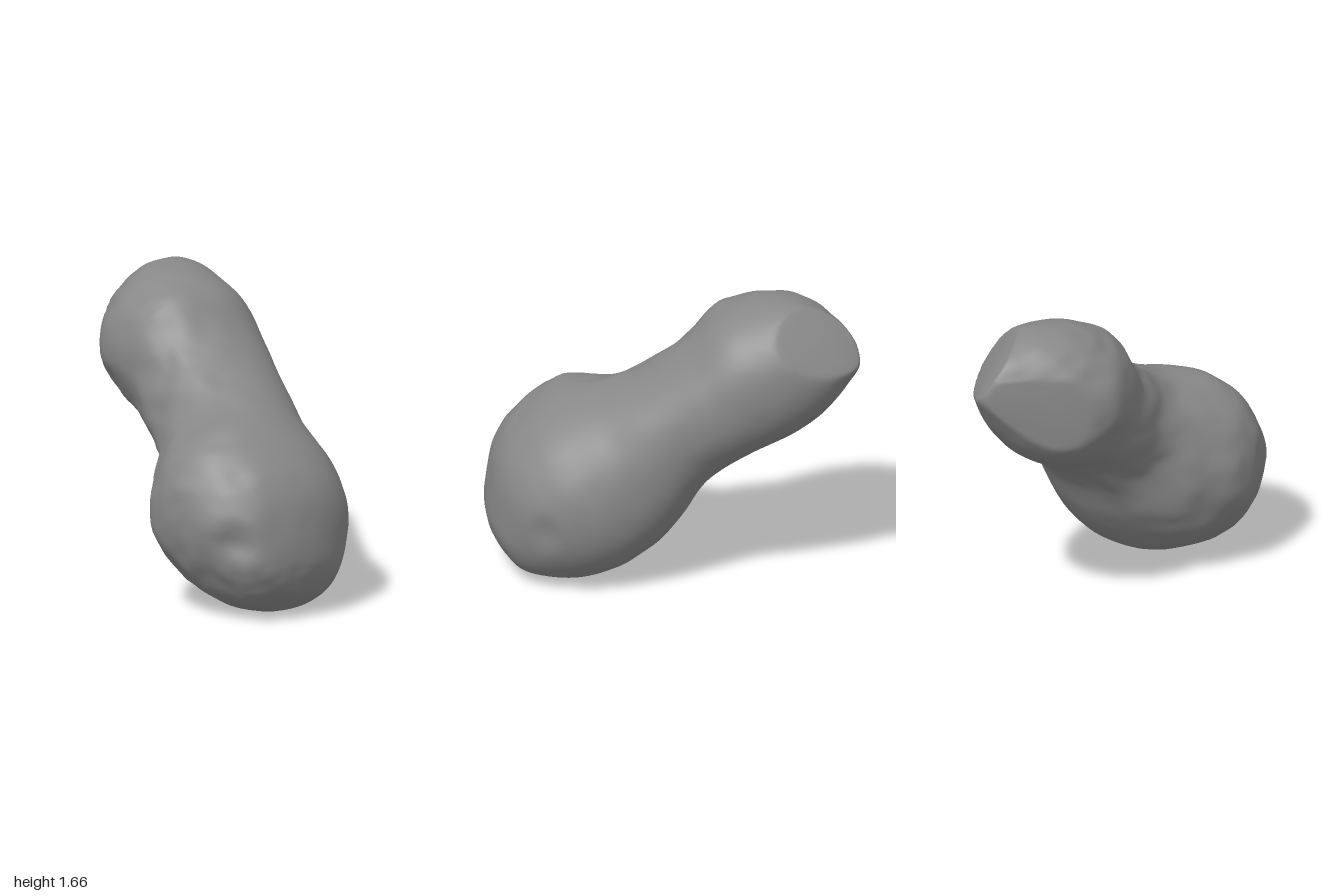
import * as THREE from 'three';
import { mergeVertices } from 'three/addons/utils/BufferGeometryUtils.js';

// Cross-sections along the long axis: [s, upper, lower, front z, back z]
const SECTIONS = [
  [-1.175, 0.06, 0.06, -0.4, -0.4],
  [-1.13, 0.21, -0.08, -0.24, -0.51],
  [-1.0, 0.375, -0.175, 0.04, -0.56],
  [-0.8, 0.475, -0.265, 0.195, -0.585],
  [-0.58, 0.515, -0.28, 0.23, -0.6],
  [-0.33, 0.45, -0.255, 0.225, -0.58],
  [-0.05, 0.425, -0.28, 0.27, -0.535],
  [0.2, 0.45, -0.405, 0.45, -0.52],
  [0.42, 0.495, -0.475, 0.58, -0.515],
  [0.64, 0.49, -0.48, 0.585, -0.505],
  [0.87, 0.4, -0.415, 0.52, -0.43],
  [1.07, 0.18, -0.28, 0.385, -0.265],
  [1.13, 0.06, -0.16, 0.25, -0.11],
  [1.155, -0.04, -0.04, 0.1, 0.1],
];

// Shallow hollows: [x, y, z, radius, depth]
const DENTS = [
  [0.9, 0.46, 0.43, 0.16, 0.03],
  [0.72, 0.4, -0.44, 0.13, 0.02],
  [0.3, 1.05, 0.2, 0.27, 0.03],
  [-0.17, 1.2, 0.22, 0.2, 0.02],
  [0.12, 0.42, 0.42, 0.13, 0.015],
  [0.7, 0.25, 0.47, 0.15, 0.015],
];

// Flat cuts across the upper end: front-facing side and back shoulder
const CUTS = [
  new THREE.Plane(new THREE.Vector3(-0.906, 0, 0.423), -0.735),
  new THREE.Plane(new THREE.Vector3(-0.33, 0.586, -0.74), -1.45),
];

// Catmull-Rom value of one section column
function column(k, t) {
  const n = SECTIONS.length - 1;
  const i = Math.min(Math.floor(t * n), n - 1), f = t * n - i;
  const at = (j) => SECTIONS[Math.max(0, Math.min(n, j))][k];
  const a = at(i - 1), b = at(i), c = at(i + 1), d = at(i + 2);
  return b + 0.5 * f * (c - a + f * (2 * a - 5 * b + 4 * c - d + f * (3 * (b - c) + d - a)));
}

// Seeded lattice noise in -1..1
function hash(x, y, z) {
  let h = Math.imul(x, 374761393) ^ Math.imul(y, 668265263) ^ Math.imul(z, 1274126177);
  h = Math.imul(h ^ (h >>> 13), 1103515245);
  return ((h ^ (h >>> 16)) >>> 0) / 2147483648 - 1;
}
function noise(x, y, z) {
  const c = [x, y, z].map(Math.floor);
  const f = [x - c[0], y - c[1], z - c[2]].map((v) => v * v * (3 - 2 * v));
  let sum = 0;
  for (let n = 0; n < 8; n++) {
    const o = [n & 1, (n >> 1) & 1, n >> 2];
    const w = o.reduce((p, v, i) => p * (v ? f[i] : 1 - f[i]), 1);
    sum += w * hash(c[0] + o[0], c[1] + o[1], c[2] + o[2]);
  }
  return sum;
}

function rockGeometry(rows = 90, sides = 80) {
  const pos = [], index = [];
  const p = new THREE.Vector3(), centre = new THREE.Vector3(), out = new THREE.Vector3();
  // Axis coordinates (along, across, z) to model coordinates
  const place = (v, s, a, z) => v.set(0.85 * s + 0.527 * a, 0.82 - 0.527 * s + 0.85 * a, z);
  const round = (v) => Math.sign(v) * Math.abs(v) ** 0.93;

  for (let i = 0; i <= rows; i++) {
    const [s, up, down, front, back] = [0, 1, 2, 3, 4].map((k) => column(k, i / rows));
    const mid = (up + down) / 2, zMid = (front + back) / 2;
    // The lower lobe leans: its front sits higher than its back
    const lean = 0.09 * (front - back) / 2 * THREE.MathUtils.smoothstep(s, -0.1, 0.4);

    for (let j = 0; j < sides; j++) {
      const a = (j / sides) * Math.PI * 2;
      const across = mid + round(Math.cos(a)) * (up - down) / 2 + lean * Math.sin(a);
      place(p, s, across, zMid + round(Math.sin(a)) * (front - back) / 2);
      // Push along the outward direction, rougher on the front side
      place(centre, s * 0.6, mid, zMid);
      out.copy(p).sub(centre).normalize();
      const rough = THREE.MathUtils.clamp(0.4 + out.z, 0.2, 1);
      let push = rough * (0.016 * noise(p.x * 5 + 9, p.y * 5, p.z * 5) + 0.01 * noise(p.x * 11, p.y * 11 + 4, p.z * 11));
      for (const [x, y, z, r, depth] of DENTS) {
        const d = Math.hypot(p.x - x, p.y - y, p.z - z) / r;
        if (d < 1) push -= depth * (1 - d * d) ** 2;
      }
      p.addScaledVector(out, push);
      for (const cut of CUTS) p.addScaledVector(cut.normal, -0.85 * Math.max(0, cut.distanceToPoint(p)));
      pos.push(p.x, p.y, p.z);

      if (i === rows) continue;
      const k = (j + 1) % sides, r0 = i * sides, r1 = r0 + sides;
      if (i > 0) index.push(r0 + j, r0 + k, r1 + j);
      if (i < rows - 1) index.push(r0 + k, r1 + k, r1 + j);
    }
  }
  const geo = new THREE.BufferGeometry();
  geo.setAttribute('position', new THREE.Float32BufferAttribute(pos, 3));
  geo.setIndex(index);
  // Join the end points so the tips shade smoothly
  const joined = mergeVertices(geo, 1e-5);
  joined.computeVertexNormals();
  return joined;
}

export function createModel() {
  const group = new THREE.Group();
  group.name = 'asteroid';
  const stone = new THREE.MeshStandardMaterial({ color: 0x888888 });
  stone.name = 'grey stone';
  const rock = new THREE.Mesh(rockGeometry(), stone);
  rock.name = 'rockBody';
  group.add(rock);
  return group;
}
